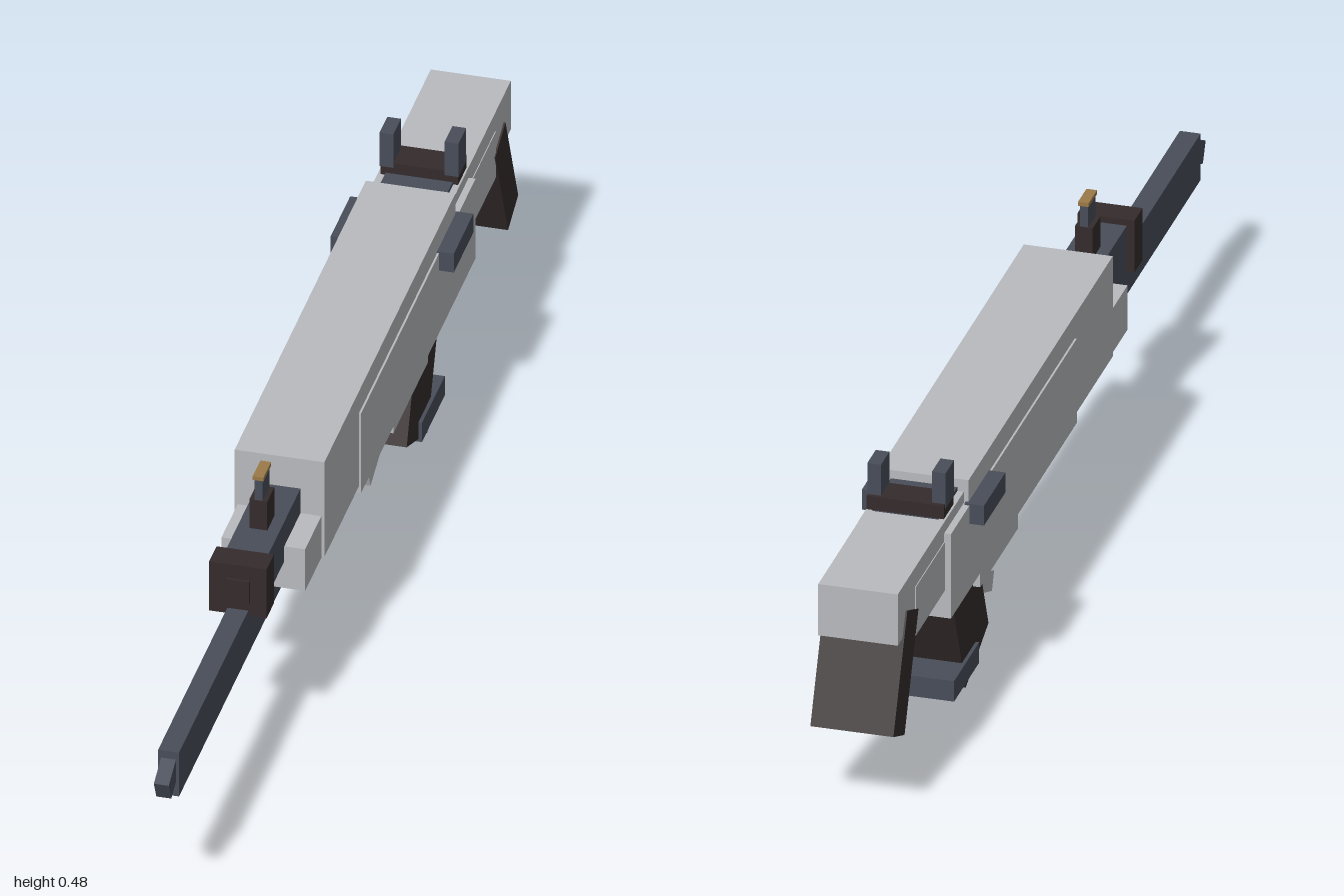
import * as THREE from 'three';

const mat = (name, color) => {
  const m = new THREE.MeshStandardMaterial({ color });
  m.name = name;
  return m;
};

export function createModel() {
  const model = new THREE.Group();
  model.name = 'rifle';
  const grey = mat('light grey', 0xb9babe);
  const steel = mat('blue steel', 0x484d59);
  const brown = mat('dark brown', 0x352c2c);
  const brass = mat('brass', 0x9a7a48);

  // Box given by its x, y and z ranges
  const block = (name, material, [x0, x1], [y0, y1], [z0, z1]) => {
    const mesh = new THREE.Mesh(new THREE.BoxGeometry(x1 - x0, y1 - y0, z1 - z0), material);
    mesh.position.set((x0 + x1) / 2, (y0 + y1) / 2, (z0 + z1) / 2);
    mesh.name = name;
    model.add(mesh);
  };
  // Box centred on x = 0
  const slab = (name, material, half, y, z) => block(name, material, [-half, half], y, z);
  // Box centred on x = 0 and tilted about the x axis
  const tilted = (name, material, [w, h, d], [y, z], degrees) => {
    const mesh = new THREE.Mesh(new THREE.BoxGeometry(w, h, d), material);
    mesh.position.set(0, y, z);
    mesh.rotation.x = THREE.MathUtils.degToRad(degrees);
    mesh.name = name;
    model.add(mesh);
  };

  // Body
  slab('upperReceiver', grey, 0.075, [0.235, 0.417], [-0.583, 0.25]);
  slab('lowerReceiver', grey, 0.0785, [0.222, 0.375], [-0.697, 0.03]);
  slab('handguard', grey, 0.07, [0.233, 0.313], [0, 0.353]);
  slab('triggerHousing', grey, 0.06, [0.163, 0.23], [-0.465, -0.245]);

  // Stock with its slanted butt
  slab('stock', grey, 0.067, [0.302, 0.395], [-0.965, -0.56]);
  slab('stockUnderside', grey, 0.0685, [0.272, 0.36], [-0.865, -0.6]);
  tilted('butt', brown, [0.14, 0.206, 0.07], [0.235, -0.928], 23);

  // Grip, lever and trigger
  tilted('grip', brown, [0.096, 0.26, 0.142], [0.147, -0.49], -22);
  slab('gripFoot', steel, 0.054, [0.018, 0.055], [-0.595, -0.45]);
  tilted('lever', grey, [0.038, 0.034, 0.43], [0.145, -0.449], 22);
  slab('trigger', steel, 0.017, [0.132, 0.165], [-0.375, -0.265]);

  // Barrel and muzzle
  slab('barrel', steel, 0.0175, [0.203, 0.287], [0.265, 0.955]);
  tilted('muzzle', steel, [0.025, 0.038, 0.08], [0.251, 0.957], 25);

  // Upper tube and its end cap
  slab('upperTube', steel, 0.035, [0.284, 0.36], [0.2, 0.49]);
  slab('tubeCap', brown, 0.048, [0.277, 0.371], [0.468, 0.515]);
  slab('tubePlug', brown, 0.02, [0.302, 0.345], [0.5, 0.52]);

  // Front sight
  slab('frontSightBase', brown, 0.015, [0.355, 0.415], [0.34, 0.385]);
  slab('frontSightPost', steel, 0.007, [0.41, 0.455], [0.341, 0.384]);
  slab('frontSightTip', brass, 0.009, [0.454, 0.461], [0.337, 0.386]);

  // Rear sight
  slab('rearSightPlate', steel, 0.056, [0.385, 0.402], [-0.69, -0.575]);
  slab('rearSightBase', brown, 0.065, [0.398, 0.422], [-0.692, -0.637]);
  for (const [side, s] of [['left', 1], ['right', -1]]) {
    const span = (a, b) => (s > 0 ? [a, b] : [-b, -a]);
    block(side + 'RearSightPost', steel, span(0.043, 0.066), [0.414, 0.478], [-0.685, -0.636]);
    block(side + 'SideHandle', steel, span(0.07, 0.103), [0.342, 0.378], [-0.59, -0.466]);
  }
  return model;
}
